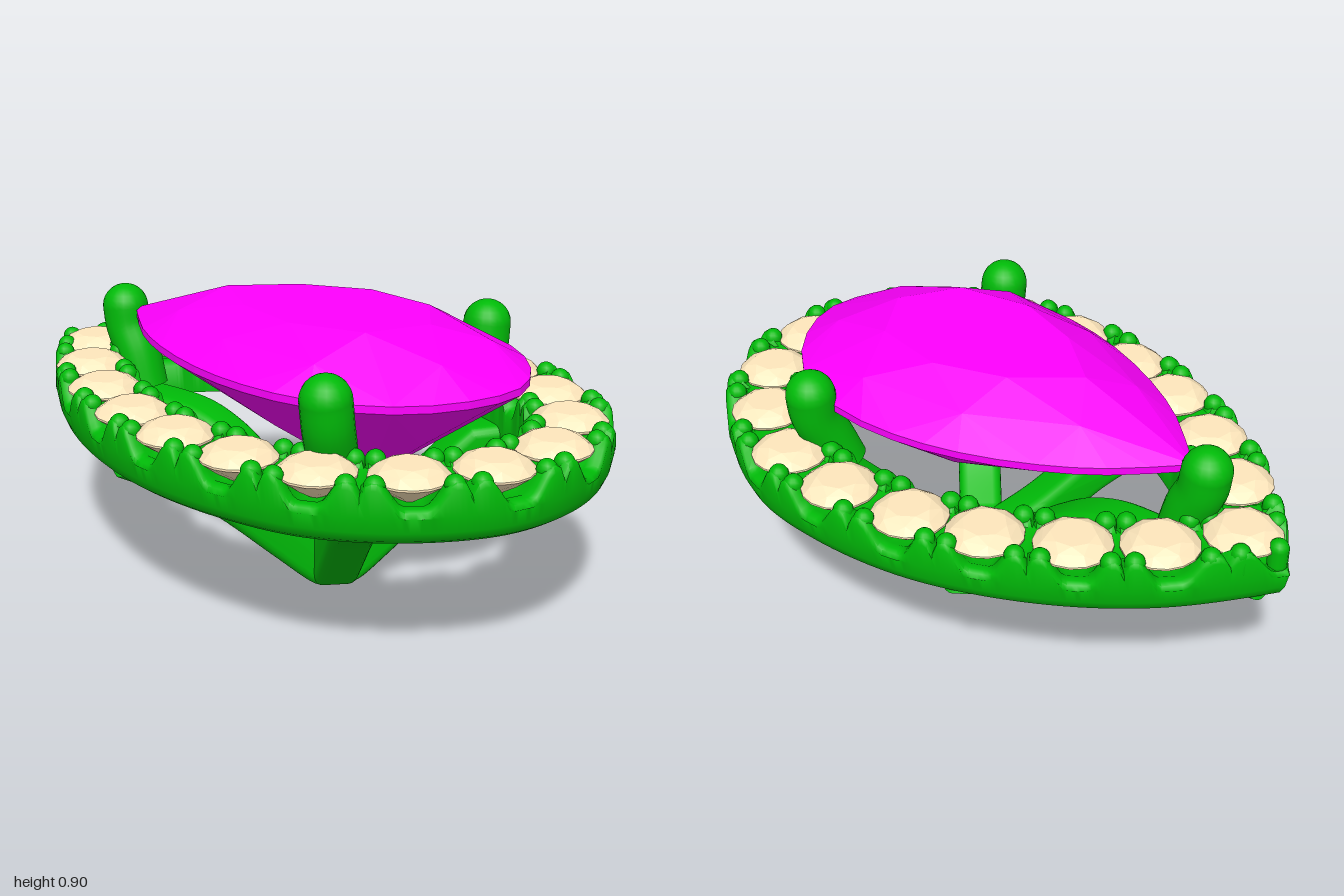
import * as THREE from 'three';
import { toCreasedNormals } from 'three/addons/utils/BufferGeometryUtils.js';
import { ConvexGeometry } from 'three/addons/geometries/ConvexGeometry.js';

const metal = new THREE.MeshStandardMaterial({ color: 0x00bb08 });
const gemMat = new THREE.MeshStandardMaterial({ color: 0xff00ff, flatShading: true });
const stoneMat = new THREE.MeshStandardMaterial({ color: 0xffe8bd, flatShading: true });

const V = (x, y, z) => new THREE.Vector3(x, y, z);

// Pear outline from its right half in (x, z), pointed tip first.
// Returns a function of u, where whole numbers are the given points.
function pearOutline(half) {
  const n = half.length - 1, [bx, bz] = half[n - 1];
  const curve = new THREE.CatmullRomCurve3([...half, [-bx, bz]].map(([x, z]) => V(x, 0, z)));
  return (u) => {
    u = ((u % (2 * n)) + 2 * n) % (2 * n);
    const p = curve.getPoint(Math.min(u, 2 * n - u) / (n + 1));
    if (u > n) p.x = -p.x;
    return p;
  };
}

const halfStones = [[0, -0.84], [0.19, -0.69], [0.34, -0.5], [0.46, -0.28], [0.53, -0.06],
  [0.56, 0.19], [0.53, 0.43], [0.41, 0.65], [0.23, 0.81], [0, 0.87]];
const COUNT = 2 * (halfStones.length - 1);
const haloPath = new THREE.CatmullRomCurve3([...halfStones,
  ...halfStones.slice(1, -1).reverse().map(([x, z]) => [-x, z])].map(([x, z]) => V(x, 0, z)), true);
const rim = pearOutline([[0, -1], [0.265, -0.785], [0.43, -0.585], [0.565, -0.34], [0.65, -0.09],
  [0.68, 0.2], [0.65, 0.47], [0.51, 0.735], [0.285, 0.935], [0, 1]]);
const RIM = 0.122;

// Point beside the halo centre line; u counts stones, offset is outward up to RIM
function haloPoint(u, offset, y) {
  const t = (((u / COUNT) % 1) + 1) % 1;
  const p = haloPath.getPoint(t);
  if (offset > 0) p.lerp(rim(u), offset / RIM);
  else {
    const d = haloPath.getTangent(t);
    p.add(V(d.z * offset, 0, -d.x * offset));
  }
  return p.setY(y);
}

// Halo band: flat underside, walls scalloped around each stone
function bandGeometry() {
  const per = 20, steps = COUNT * per, pos = [], index = [];
  let m = 0;
  for (let i = 0; i < steps; i++) {
    const u = i / per, d = Math.abs(u - Math.round(u));
    const rise = THREE.MathUtils.smoothstep(d, 0.1, 0.36);
    const groove = THREE.MathUtils.smoothstep(d, 0.43, 0.5);
    const top = 0.56 + 0.08 * rise - 0.04 * groove;
    const seat = 0.545 + 0.06 * rise;
    const section = [[-0.13, 0.45], [0.06, 0.45], [0.085, 0.454], [0.102, 0.467], [0.113, 0.495], [0.12, 0.54],
      [RIM, top - 0.02], [0.115, top - 0.005], [0.1, top], [0.08, top], [0.055, seat], [-0.06, seat],
      [-0.085, top], [-0.115, top], [-0.13, top - 0.015]];
    m = section.length;
    for (const [o, y] of section) pos.push(...haloPoint(u, o, y).toArray());
  }
  for (let i = 0; i < steps; i++) for (let j = 0; j < m; j++) {
    const k = (i + 1) % steps, l = (j + 1) % m;
    const a = i * m + j, b = i * m + l, c = k * m + l, e = k * m + j;
    index.push(a, b, c, a, c, e);
  }
  const g = new THREE.BufferGeometry();
  g.setAttribute('position', new THREE.Float32BufferAttribute(pos, 3));
  g.setIndex(index);
  return toCreasedNormals(g, 0.9);
}

// Round brilliant: octagonal table, star ring, girdle and culet
function stoneGeometry() {
  const pts = [V(0, -0.085, 0)];
  const ring = (n, r, y, turn) => {
    for (let i = 0; i < n; i++) {
      const a = (i + turn) / n * Math.PI * 2;
      pts.push(V(r * Math.cos(a), y, r * Math.sin(a)));
    }
  };
  ring(8, 0.065, 0.035, 0);
  ring(8, 0.093, 0.022, 0.5);
  ring(16, 0.115, 0, 0);
  ring(16, 0.115, -0.006, 0);
  ring(8, 0.07, -0.042, 0.5);
  return new ConvexGeometry(pts);
}

// Pear cut gem from scaled copies of its outline
function pearGeometry() {
  const outline = pearOutline([[0, -0.66], [0.17, -0.485], [0.28, -0.32], [0.375, -0.11], [0.425, 0.1],
    [0.425, 0.33], [0.34, 0.55], [0.18, 0.7], [0, 0.76]]);
  const pts = [V(0, 0.375, 0.26)];
  const ring = (scale, y, zc, start, step) => {
    for (let u = start; u < 16; u += step) {
      const p = outline(u);
      pts.push(V(p.x * scale, y, zc + (p.z - zc) * scale));
    }
  };
  ring(0.52, 0.9, 0.14, 0, 2);
  ring(0.8, 0.838, 0.13, 1, 2);
  ring(1, 0.765, 0, 0, 0.5);
  ring(1, 0.742, 0, 0, 0.5);
  ring(0.55, 0.565, 0.26, 1, 2);
  return new ConvexGeometry(pts);
}

// Curved strut: side profile in (distance from hub, height), extruded and bevelled
function strutGeometry(lower, upper) {
  const s = new THREE.Shape();
  const to = (pts) => s.splineThru(pts.map(([x, y]) => new THREE.Vector2(x, y)));
  s.moveTo(-0.03, 0);
  s.lineTo(0.04, 0);
  to(lower);
  const [ex, ey] = lower[lower.length - 1], [ux, uy] = upper[0];
  s.lineTo(ex - 0.02, ey + 0.05);
  s.lineTo(ux, uy);
  to(upper.slice(1));
  s.lineTo(-0.03, 0.2);
  const g = new THREE.ExtrudeGeometry(s, { depth: 0.08, bevelEnabled: true, bevelThickness: 0.03,
    bevelSize: 0.03, bevelOffset: -0.03, bevelSegments: 4, curveSegments: 6 });
  g.translate(0, 0, -0.04);
  return toCreasedNormals(g, 0.7);
}

export function createModel() {
  const model = new THREE.Group();
  const add = (name, geo, mat, parent = model) => {
    const mesh = new THREE.Mesh(geo, mat);
    mesh.name = name;
    parent.add(mesh);
    return mesh;
  };
  const group = (name) => {
    const g = new THREE.Group();
    g.name = name;
    model.add(g);
    return g;
  };

  add('haloBand', bandGeometry(), metal);
  add('centreGem', pearGeometry(), gemMat);

  // Halo stones, and four bead prongs in every gap between them
  const stoneGroup = group('haloStones'), beadGroup = group('beadProngs');
  const stoneGeo = stoneGeometry();
  const beadGeo = new THREE.CapsuleGeometry(0.03, 0.05, 5, 12);
  for (let i = 0; i < COUNT; i++) {
    const stone = add('haloStone', stoneGeo, stoneMat, stoneGroup);
    stone.position.copy(haloPoint(i, 0, 0.615));
    const d = haloPath.getTangent(i / COUNT);
    stone.rotation.y = Math.atan2(-d.z, d.x);
    for (const side of [-0.095, 0.088]) for (const shift of [-0.13, 0.13])
      add('beadProng', beadGeo, metal, beadGroup).position.copy(haloPoint(i + 0.5 + shift, side, 0.595));
  }
  // Single bead capping the pointed end
  add('tipBead', beadGeo, metal, beadGroup).position.set(0, 0.59, -0.955);

  // Tall claws holding the centre gem
  const claw = (name, pts, r) => {
    const g = group(name);
    const path = new THREE.CatmullRomCurve3(pts);
    add('clawShaft', new THREE.TubeGeometry(path, 16, r, 20), metal, g);
    add('clawTip', new THREE.SphereGeometry(r, 20, 14), metal, g).position.copy(pts[pts.length - 1]);
  };
  for (const s of [1, -1])
    claw('sideClaw', [V(s * 0.37, 0.53, 0.37), V(s * 0.4, 0.62, 0.39), V(s * 0.438, 0.71, 0.405), V(s * 0.45, 0.787, 0.405)], 0.075);
  claw('tipClaw', [V(0, 0.5, -0.63), V(0, 0.62, -0.66), V(0, 0.7, -0.695), V(0, 0.763, -0.705)], 0.075);

  // Struts rising from the hub to the band
  const strutGroup = group('struts');
  const shortStrut = strutGeometry(
    [[0.09, 0.02], [0.21, 0.125], [0.38, 0.275], [0.49, 0.345], [0.59, 0.4], [0.69, 0.45]],
    [[0.43, 0.49], [0.37, 0.44], [0.28, 0.36], [0.17, 0.27], [0.06, 0.2]]);
  const longStrut = strutGeometry(
    [[0.09, 0.03], [0.18, 0.125], [0.41, 0.28], [0.73, 0.385], [1.07, 0.45]],
    [[0.8, 0.5], [0.55, 0.49], [0.4, 0.44], [0.28, 0.36], [0.17, 0.27], [0.06, 0.2]]);
  const strut = (name, geo, dx, dz) => {
    const m = add(name, geo, metal, strutGroup);
    m.position.z = 0.13;
    m.rotation.y = Math.atan2(-dz, dx);
  };
  for (const s of [1, -1]) {
    strut('frontStrut', shortStrut, s * 0.5, 0.45);
    strut('rearStrut', shortStrut, s * 0.5, -0.38);
  }
  strut('tipStrut', longStrut, 0, -1);

  return model;
}
